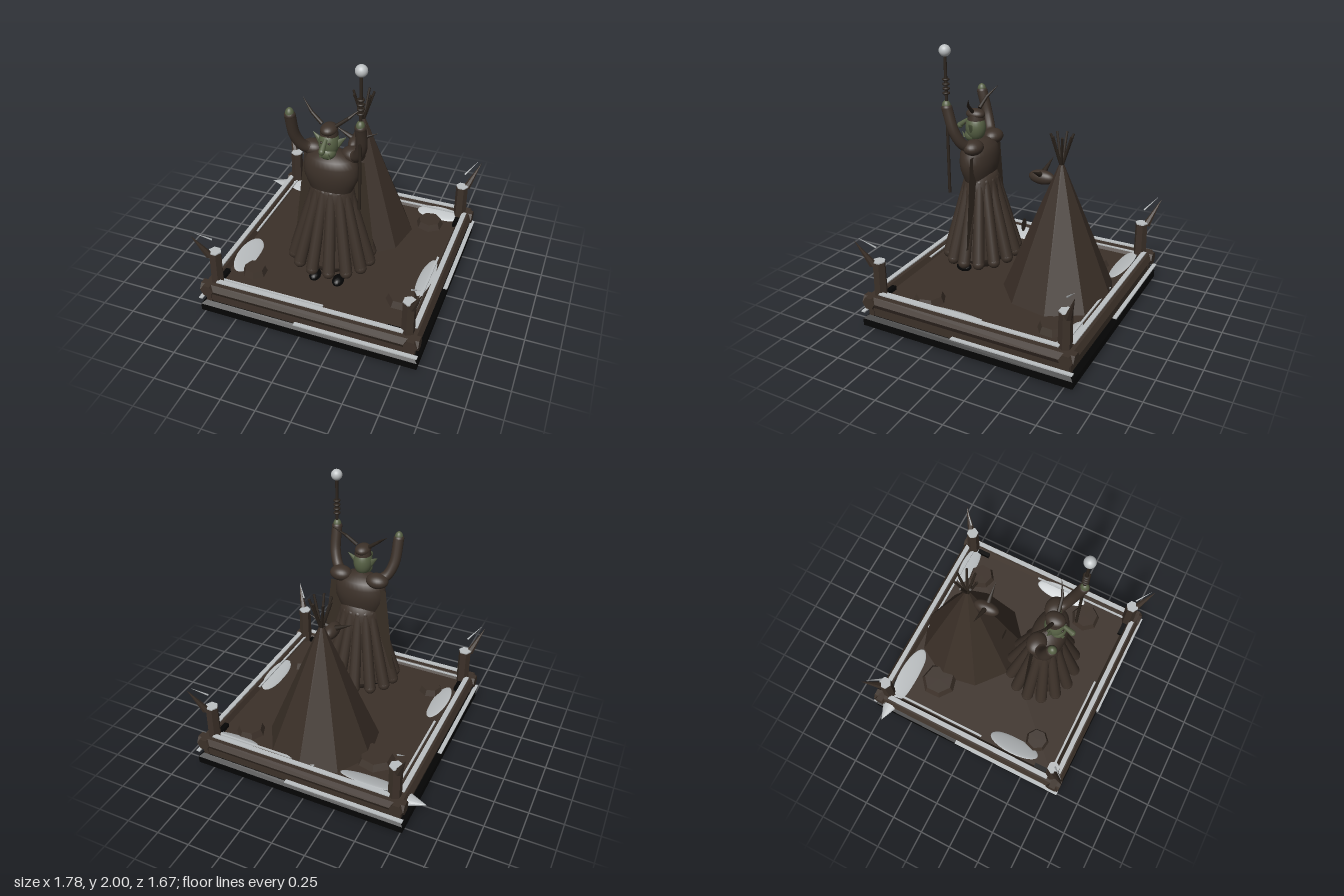
import * as THREE from 'three';

const mat = (name, color, extra = {}) => Object.assign(new THREE.MeshStandardMaterial({ color, ...extra }), { name });
const V = (x, y, z) => new THREE.Vector3(x, y, z);
const points = list => list.map(p => new THREE.Vector2(...p));

export function createModel() {
  const wood = mat('brown wood', 0x3c3129, { flatShading: true });
  const cloth = mat('brown cloth', 0x3c3129);
  const hide = mat('tent hide', 0x3a2f27, { flatShading: true });
  const dark = mat('dark pole', 0x2c241d);
  const black = mat('black base', 0x050505, { flatShading: true });
  const skin = mat('green skin', 0x566044);
  const pale = mat('pale grey', 0xbcc0c2);
  const sheet = mat('cloth sheet', 0x382e25, { side: THREE.DoubleSide });

  const root = new THREE.Group();
  root.name = 'campDiorama';
  const group = (name, x = 0, y = 0, z = 0, parent = root) => {
    const g = new THREE.Group();
    g.name = name;
    g.position.set(x, y, z);
    parent.add(g);
    return g;
  };
  const add = (parent, name, geo, m, x = 0, y = 0, z = 0) => {
    const mesh = new THREE.Mesh(geo, m);
    mesh.name = name;
    mesh.position.set(x, y, z);
    parent.add(mesh);
    return mesh;
  };
  const box = (p, name, w, h, d, m, x, y, z) => add(p, name, new THREE.BoxGeometry(w, h, d), m, x, y, z);
  const ball = (p, name, rx, ry, rz, m, x, y, z) => {
    const b = add(p, name, new THREE.SphereGeometry(1, 24, 16), m, x, y, z);
    b.scale.set(rx, ry, rz);
    return b;
  };
  // tapered rod from a to b
  const rod = (p, name, a, b, ra, rb, m, sides = 12) => {
    const d = b.clone().sub(a);
    const r = add(p, name, new THREE.CylinderGeometry(rb, ra, d.length(), sides), m);
    r.position.copy(a).addScaledVector(d, 0.5);
    r.quaternion.setFromUnitVectors(V(0, 1, 0), d.normalize());
    return r;
  };

  // base slab with chamfered edges
  const base = group('base', 0.05);
  const c = 0.79;
  const slabShape = new THREE.Shape(points([[-c, -c], [c, -c], [c, c], [-c, c]]));
  const slab = new THREE.ExtrudeGeometry(slabShape, { depth: 0.055, bevelSize: 0.03, bevelThickness: 0.025, bevelSegments: 1 });
  slab.rotateX(-Math.PI / 2);
  add(base, 'baseSlab', slab, black, 0, 0.025, 0);
  box(base, 'floor', 1.53, 0.12, 1.53, wood, 0, 0.16, 0);

  // four equal sides: rail, pale strips and corner post with spike
  for (let i = 0; i < 4; i++) {
    const side = group('fenceSide', 0, 0, 0, base);
    side.rotation.y = i * Math.PI / 2;
    rod(side, 'rail', V(-0.82, 0.215, 0.765), V(0.82, 0.215, 0.765), 0.05, 0.05, wood, 6);
    box(side, 'sill', 1.58, 0.07, 0.04, wood, 0, 0.135, 0.765);
    box(side, 'topStrip', 1.4, 0.009, 0.036, pale, 0, 0.285, 0.762);
    box(side, 'innerStrip', 0.78, 0.008, 0.016, pale, -0.29, 0.265, 0.708);
    box(side, 'lowerStrip', 0.9, 0.009, 0.03, pale, 0.37, 0.135, 0.818);
    box(side, 'cornerBlock', 0.1, 0.04, 0.035, black, 0.62, 0.23, 0.715);
    add(side, 'post', new THREE.CylinderGeometry(0.047, 0.05, 0.41, 6), wood, 0.72, 0.315, 0.72);
    add(side, 'postCap', new THREE.CylinderGeometry(0.048, 0.048, 0.009, 6), pale, 0.72, 0.522, 0.72);
    rod(side, 'postSpike', V(0.75, 0.5, 0.75), V(0.825, 0.7, 0.835), 0.028, 0.001, wood, 6);
    rod(side, 'spikeEdge', V(0.73, 0.63, 0.73), V(0.81, 0.72, 0.81), 0.007, 0.001, pale, 6);
  }

  // pale patches leaning on the rails: x, z, radii, tilts
  for (const [x, z, rx, rz, tx, tz] of [[-0.47, -0.655, 0.24, 0.08, 0.38, 0], [0.61, -0.68, 0.18, 0.065, 0.38, 0],
    [0.73, 0.13, 0.065, 0.215, 0, 0.38], [-0.6, 0.36, 0.08, 0.205, 0, -0.38]]) {
    ball(root, 'palePatch', rx, 0.01, rz, pale, x, 0.24, z).rotation.set(tx, 0, tz);
  }
  // low mounds on the floor
  for (const [x, z, r] of [[-0.4, -0.42, 0.145], [0.57, -0.54, 0.11], [-0.48, 0.5, 0.095], [0.63, 0.4, 0.12]]) {
    const m = add(root, 'mound', new THREE.CylinderGeometry(r * 0.8, r, 0.055, 7), wood, x, 0.242, z);
    m.rotation.y = x * 5;
  }
  const blade = add(root, 'sideBlade', new THREE.ConeGeometry(0.075, 0.17, 12), pale, -0.805, 0.21, -0.68);
  blade.rotation.z = Math.PI / 2;
  blade.scale.x = 0.45;

  // tent with crossing poles
  const tent = group('tent', 0.052, 0, -0.35);
  const cone = add(tent, 'tentCover', new THREE.CylinderGeometry(0.015, 0.412, 0.98, 9), hide, 0, 0.71, 0);
  cone.rotation.y = Math.PI;
  for (let i = 0; i < 7; i++) {
    const a = i / 7 * Math.PI * 2 + 0.2, x = Math.sin(a), z = Math.cos(a);
    rod(tent, 'tentPole', V(-0.05 * x, 1.02, -0.05 * z), V(0.08 * x, 1.41, 0.08 * z), 0.011, 0.009, dark, 8);
  }
  const flap = add(tent, 'doorFlap', new THREE.CircleGeometry(1, 12), sheet, 0, 0.67, 0.29);
  flap.scale.set(0.04, 0.05, 1);
  // horned skull hung above the door
  const skull = group('hornedSkull', 0.05, 1.07, -0.2);
  ball(skull, 'skull', 0.05, 0.052, 0.1, cloth, 0, 0, 0);
  for (const s of [-1, 1]) rod(skull, 'skullHorn', V(s * 0.03, 0.03, 0), V(s * 0.17, 0.1, -0.01), 0.02, 0.001, dark);

  // robed figure
  const fig = group('figure', 0.055, 0, 0.285);
  ball(fig, 'lowerBody', 0.185, 0.2, 0.19, cloth, 0, 0.46, 0);
  const skirt = points([[0.26, 0.42], [0.22, 0.66], [0.185, 0.82], [0.168, 0.92], [0.157, 0.98], [0.13, 1.04], [0, 1.08]]);
  add(fig, 'skirt', new THREE.LatheGeometry(skirt, 32), cloth).scale.z = 0.78;
  const torso = points([[0.15, 0.98], [0.172, 1.03], [0.192, 1.08], [0.198, 1.13], [0.192, 1.19], [0.165, 1.24], [0.1, 1.275], [0, 1.29]]);
  add(fig, 'torso', new THREE.LatheGeometry(torso, 32), cloth, 0, 0, 0.013).scale.z = 0.63;
  const folds = 14;
  for (let i = 0; i < folds; i++) {
    const a = (i + 0.5) / folds * Math.PI * 2, x = Math.sin(a), z = Math.cos(a);
    const low = V(0.283 * x, 0.41, 0.243 * z), top = V(0.118 * x, 0.98, 0.088 * z);
    rod(fig, 'robeFold', low, top, 0.045, 0.036, cloth);
    ball(fig, 'foldEnd', 0.045, 0.045, 0.045, cloth, low.x, low.y, low.z);
    ball(fig, 'foldTop', 0.036, 0.036, 0.036, cloth, top.x, top.y, top.z);
  }
  for (const s of [-1, 1]) ball(fig, 'foot', 0.042, 0.035, 0.06, black, s * 0.09, 0.255, 0.12);
  const cape = new THREE.Shape(points([[-0.22, 1.2], [0.22, 1.2], [0.3, 0.52], [-0.3, 0.52]]));
  add(fig, 'cape', new THREE.ShapeGeometry(cape), sheet, 0, 0, -0.035);

  // raised arms
  for (const s of [-1, 1]) {
    const arm = group(s > 0 ? 'leftArm' : 'rightArm', 0, 0, 0, fig);
    ball(arm, 'shoulder', 0.085, 0.055, 0.07, cloth, s * 0.145, 1.262, -0.02);
    const path = new THREE.CatmullRomCurve3([V(s * 0.13, 1.265, -0.01), V(s * 0.19, 1.285, 0.03), V(s * 0.235, 1.38, 0.075), V(s * 0.245, 1.56, 0.125)]);
    add(arm, 'sleeve', new THREE.TubeGeometry(path, 20, 0.039, 14), cloth);
    ball(arm, 'cuff', 0.039, 0.03, 0.039, cloth, s * 0.245, 1.56, 0.125);
    ball(arm, 'hand', 0.03, 0.045, 0.032, skin, s * 0.245, 1.57, 0.128);
  }

  // head
  const head = group('head', -0.003, 1.36, 0.045, fig);
  ball(head, 'face', 0.07, 0.1, 0.075, skin, 0, 0, 0);
  ball(head, 'jaw', 0.06, 0.05, 0.055, skin, 0, -0.06, 0.03);
  rod(head, 'nose', V(0, 0.05, 0.06), V(0, 0, 0.13), 0.014, 0.02, skin);
  ball(head, 'noseTip', 0.021, 0.023, 0.022, skin, 0, -0.003, 0.13);
  ball(head, 'cap', 0.057, 0.04, 0.072, cloth, 0, 0.1, -0.002);
  rod(head, 'capBand', V(0, 0.06, -0.005), V(0, 0.1, -0.005), 0.062, 0.057, cloth, 20);
  for (const s of [-1, 1]) {
    const ear = rod(head, 'ear', V(s * 0.055, 0, 0), V(s * 0.118, 0.055, -0.01), 0.03, 0.001, skin, 8);
    ear.scale.z = 0.5;
    ball(head, 'eye', 0.01, 0.007, 0.007, dark, s * 0.028, 0.028, 0.068);
    rod(head, 'tusk', V(s * 0.03, -0.075, 0.077), V(s * 0.034, -0.03, 0.092), 0.01, 0.001, skin, 8);
    rod(head, 'horn', V(s * 0.05, 0.13, -0.005), V(s * 0.13, 0.195, -0.02), 0.014, 0.011, dark);
    rod(head, 'hornTip', V(s * 0.13, 0.195, -0.02), V(s * 0.21, 0.265, -0.07), 0.011, 0.001, dark);
  }

  // staff with rings and a round top
  const staff = group('staff', 0.3, 0, 0.41);
  rod(staff, 'staffShaft', V(0, 0.93, 0), V(0, 1.93, 0), 0.011, 0.011, dark);
  for (let i = 0; i < 4; i++) {
    const ring = add(staff, 'staffRing', new THREE.TorusGeometry(0.018, 0.008, 8, 18), dark, 0, 1.665 + i * 0.032, 0);
    ring.rotation.x = Math.PI / 2;
  }
  ball(staff, 'staffOrb', 0.041, 0.041, 0.041, pale, 0, 1.959, 0);

  return root;
}
